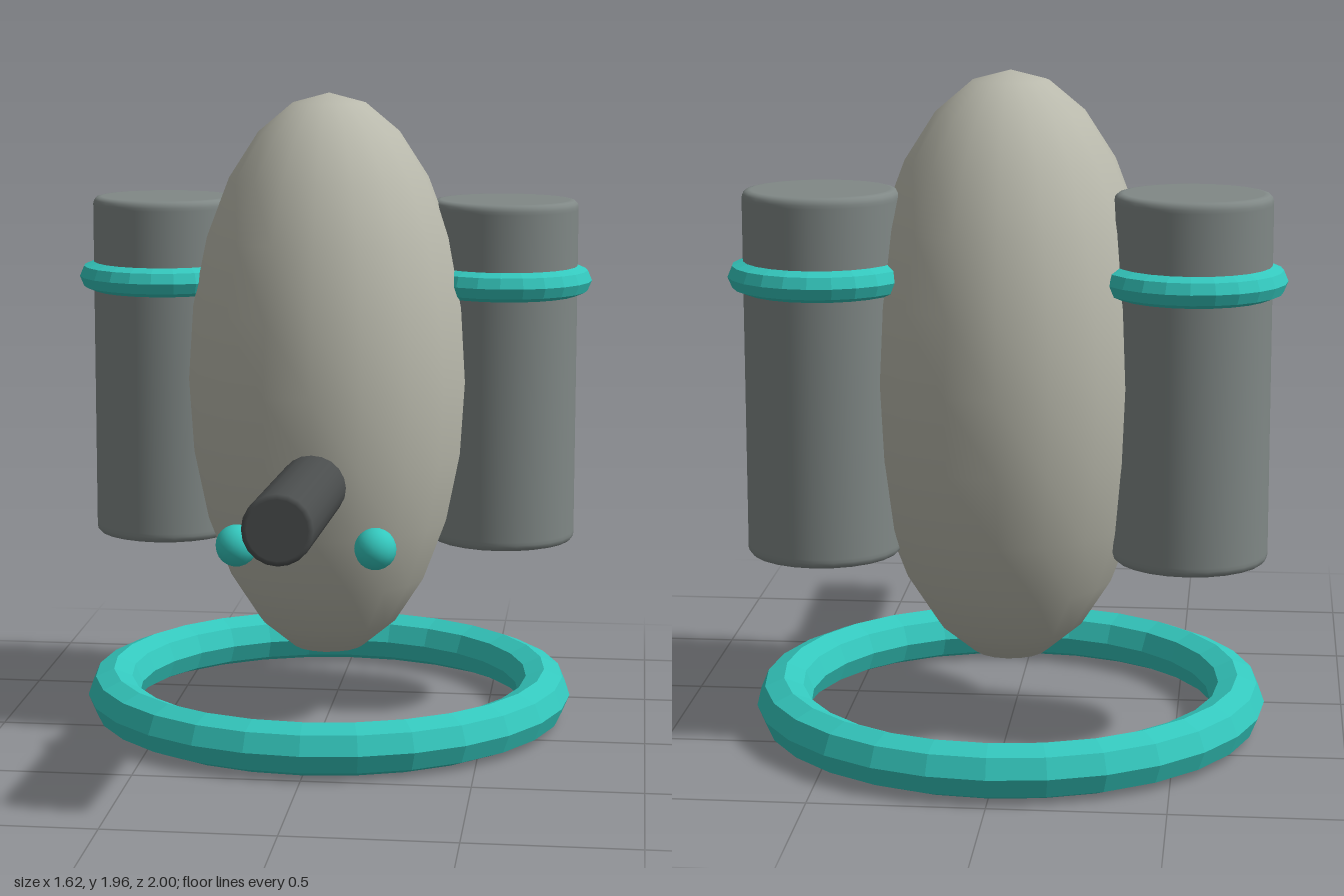
import * as THREE from 'three';

const paint = (color, flatShading = false) => new THREE.MeshStandardMaterial({ color, flatShading });

function add(parent, name, geometry, material, x, y, z) {
  const mesh = new THREE.Mesh(geometry, material);
  mesh.name = name;
  mesh.position.set(x, y, z);
  parent.add(mesh);
  return mesh;
}

// Upright cylinder with softly rounded rims, centred on the origin
function softCylinder(radius, height, bevel, sides) {
  const h = height / 2, points = [new THREE.Vector2(0, -h), new THREE.Vector2(radius - bevel * 1.3, -h)];
  for (const end of [-1, 1]) {
    for (let i = 0; i <= 3; i++) {
      const a = (end < 0 ? i - 3 : i) * Math.PI / 6;
      points.push(new THREE.Vector2(radius - bevel + bevel * Math.cos(a), end * (h - bevel) + bevel * Math.sin(a)));
    }
    if (end < 0) points.push(new THREE.Vector2(radius, -h + bevel * 1.5), new THREE.Vector2(radius, h - bevel * 1.5));
  }
  points.push(new THREE.Vector2(radius - bevel * 1.3, h), new THREE.Vector2(0, h));
  return new THREE.LatheGeometry(points, sides);
}

// Faceted horizontal ring
function ring(radius, tube, segments) {
  return new THREE.TorusGeometry(radius, tube, 8, segments).rotateX(Math.PI / 2);
}

export function createModel() {
  const model = new THREE.Group();
  model.name = 'hoverPod';
  const shell = paint(0xb9b9ac), steel = paint(0x808886), dark = paint(0x4a4d4d);
  const teal = paint(0x34c8be), tealFlat = paint(0x34c8be, true);

  // Egg-shaped body
  const egg = new THREE.SphereGeometry(1, 18, 12).rotateY(Math.PI / 2).scale(0.435, 0.882, 0.47);
  add(model, 'body', egg, shell, 0, 1.082, -0.232);

  // Hover ring beneath the body
  add(model, 'hoverRing', ring(0.682, 0.081, 28), tealFlat, 0, 0.081, -0.238);

  // Front barrel, tipped slightly upward
  const barrel = softCylinder(0.1, 1.0, 0.012, 20).rotateX(Math.PI / 2 - 0.048);
  add(model, 'barrel', barrel, dark, 0, 0.83, 0.495);

  // Mirrored tanks with bands, and small lamps
  for (const [side, name] of [[1, 'left'], [-1, 'right']]) {
    const tank = new THREE.Group();
    tank.name = name + 'TankAssembly';
    tank.position.set(side * 0.537, 0, -0.37);
    model.add(tank);
    add(tank, name + 'Tank', softCylinder(0.227, 1.075, 0.02, 24), steel, 0, 1.0925, 0);
    add(tank, name + 'TankBand', ring(0.227, 0.045, 24), tealFlat, 0, 1.38, 0);
    add(model, name + 'Lamp', new THREE.SphereGeometry(0.062, 16, 12), teal, side * 0.205, 0.67, 0.365);
  }
  return model;
}
